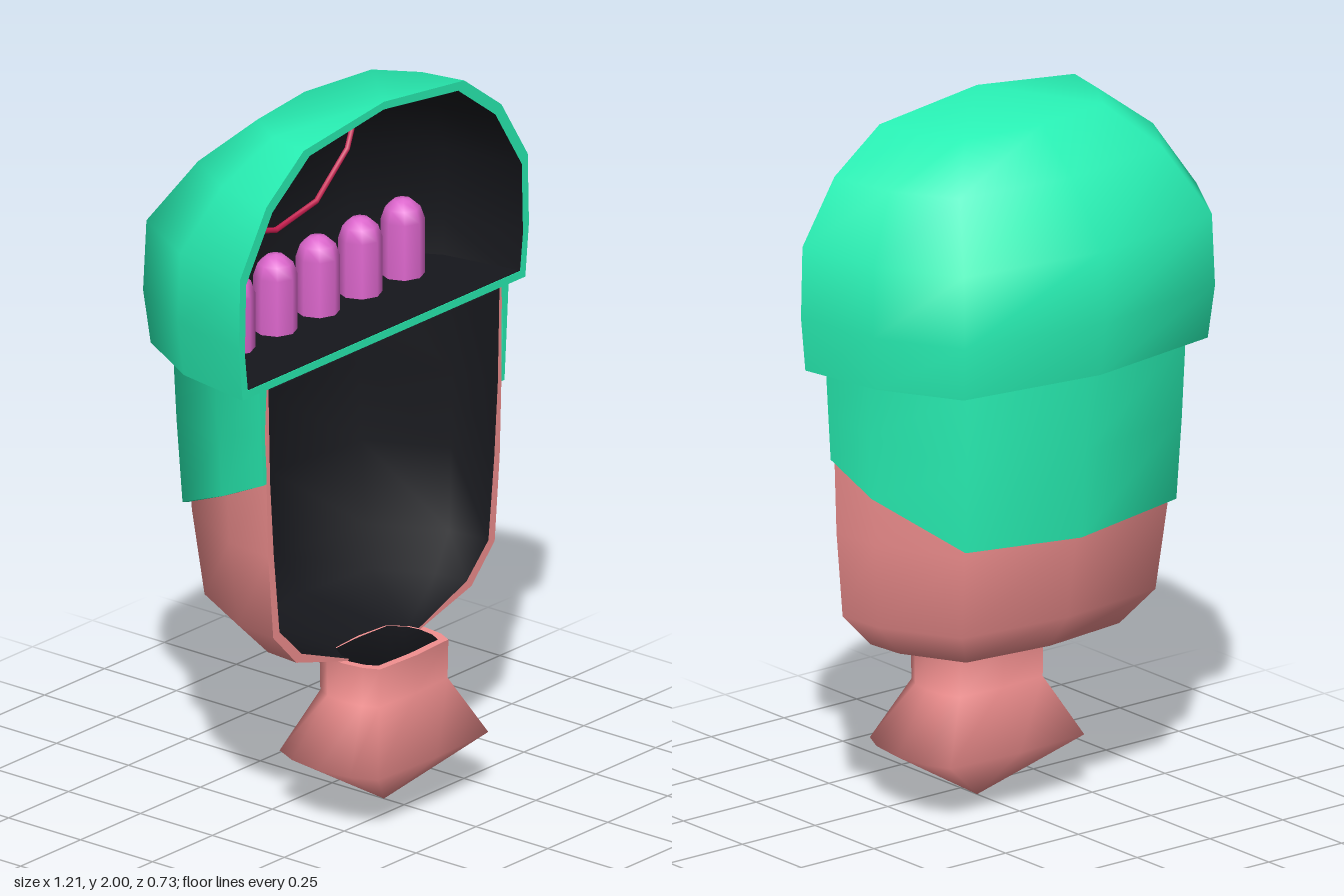
import * as THREE from 'three';
import { mergeVertices } from 'three/addons/utils/BufferGeometryUtils.js';

const CUT = 0.18; // z of the open front plane
const WALL = 0.025;
const mat = (color) => new THREE.MeshStandardMaterial({ color, side: THREE.DoubleSide });
const green = mat(0x28f0b4), skin = mat(0xf29090), black = mat(0x16171c);
const violet = mat(0xdc66cc), red = mat(0xc81e50), yellow = mat(0xbe9a1e);

// Unit half sections from the left edge (+x) to the middle of the back: [x, depth]
const capSection = [[1, 0], [0.925, 0.46], [0.71, 0.88], [0, 1]];
const headSection = [[1, 0], [0.97, 0.35], [0.72, 0.9], [0, 1]];
const neckSection = [[1, 0], [0.95, 0.55], [0.83, 0.93], [0, 1]];

const mirrored = (half) => [...half, ...half.slice(0, -1).reverse().map(([x, d]) => [-x, d])];
const closed = (half) => {
  const back = mirrored(half);
  return [...back, ...back.slice(0, -1).reverse().map(([x, d]) => [x, -d])];
};

// Smooth surface through rows of points
function surface(rows) {
  const n = rows[0].length, index = [];
  for (let i = 0; i < rows.length - 1; i++) {
    for (let j = 0; j < n - 1; j++) {
      const a = i * n + j, c = a + n;
      index.push(a, c, a + 1, a + 1, c, c + 1);
    }
  }
  let geo = new THREE.BufferGeometry();
  geo.setAttribute('position', new THREE.Float32BufferAttribute(rows.flat(2), 3));
  geo.setIndex(index);
  geo = mergeVertices(geo, 1e-4);
  geo.computeVertexNormals();
  return geo;
}

// Levels are [y, half width, depth, slope of y towards the back]
const loft = (section, levels) => surface(levels.map(([y, a, d, slope = 0]) =>
  section.map(([x, f]) => [x * a, y + slope * f, CUT - f * d])));

const inset = (levels, drop = 0) => levels.map(([y, a, d, s]) =>
  [y - drop, Math.max(a - WALL, 0), Math.max(d - WALL, 0), s]);

function add(parent, name, geo, material) {
  const mesh = new THREE.Mesh(geo, material);
  mesh.name = name;
  parent.add(mesh);
  return mesh;
}

// Cut edges of a shell, on both sides
function addRim(parent, name, outer, inner, material) {
  for (const s of [1, -1]) {
    const rows = outer.map(([y, a], i) => {
      const o = [s * a, y, CUT], n = [s * inner[i][1], inner[i][0], CUT];
      return s > 0 ? [n, o] : [o, n];
    });
    add(parent, name + (s > 0 ? 'Left' : 'Right'), surface(rows), material);
  }
}

// Flat half slab with the cap's outline
function slab(a, d, y, height) {
  const shape = new THREE.Shape(mirrored(capSection).map(([x, f]) => new THREE.Vector2(x * a, f * d - CUT)));
  return new THREE.ExtrudeGeometry(shape, { depth: height, bevelEnabled: false })
    .rotateX(-Math.PI / 2).translate(0, y, 0);
}

export function createModel() {
  const model = new THREE.Group();
  model.name = 'halfHead';

  // Rounded cap shell with its dark lining
  const cap = new THREE.Group();
  cap.name = 'cap';
  model.add(cap);
  const capLevels = [[2, 0, 0], [1.96, 0.335, 0.275], [1.845, 0.49, 0.405],
    [1.67, 0.6, 0.535], [1.47, 0.605, 0.545], [1.32, 0.59, 0.525]];
  const capInner = inset(capLevels, 0.022);
  capInner[capInner.length - 1][0] = 1.32;
  add(cap, 'capShell', loft(mirrored(capSection), capLevels), green);
  add(cap, 'capLining', loft(mirrored(capSection), capInner), black);
  addRim(cap, 'capRim', capLevels, capInner, green);
  add(cap, 'capFloor', slab(0.588, 0.523, 1.32, 0.022), green);
  add(cap, 'capFloorLining', slab(0.568, 0.503, 1.342, 0.002).translate(0, 0, -0.002), black);

  // Band under the cap, its lower edge sloping down to the back
  const band = new THREE.Group();
  band.name = 'capBand';
  model.add(band);
  const bandLevels = [[1.32, 0.52, 0.47, 0], [1.19, 0.512, 0.46, -0.105], [1.05, 0.503, 0.443, -0.21]];
  const bandInner = bandLevels.map(([y, a, d, s]) => [y, a - 0.015, d - 0.015, s]);
  bandInner[0][1] = 0.49;
  add(band, 'bandShell', loft(mirrored(headSection), bandLevels), green);
  add(band, 'bandInside', loft(mirrored(headSection), bandInner), green);
  addRim(band, 'bandRim', bandLevels, bandInner, green);
  const last = bandLevels.length - 1;
  add(band, 'bandHem', loft(mirrored(headSection), [bandLevels[last], bandInner[last]]), green);

  // Hollow lower head
  const head = new THREE.Group();
  head.name = 'head';
  model.add(head);
  const headLevels = [[1.32, 0.492, 0.44], [1.05, 0.49, 0.438], [0.84, 0.483, 0.42],
    [0.6, 0.462, 0.385], [0.5, 0.365, 0.31], [0.44, 0.15, 0.105]];
  const headInner = [[1.32, 0.482, 0.42], [1.05, 0.475, 0.415], [0.84, 0.46, 0.395],
    [0.61, 0.436, 0.36], [0.52, 0.345, 0.285], [0.445, 0.145, 0.09]];
  add(head, 'headShell', loft(mirrored(headSection), headLevels), skin);
  add(head, 'headLining', loft(mirrored(headSection), headInner), black);
  addRim(head, 'headRim', headLevels, headInner, skin);
  add(head, 'headCeiling', loft(mirrored(headSection), [[1.316, 0, 0], [1.316, 0.482, 0.42]]), black);

  // Neck, flaring and closing to a point, with a dark hollow
  const neck = new THREE.Group();
  neck.name = 'neck';
  model.add(neck);
  const neckLevels = [[0.44, 0.172, 0.113], [0.33, 0.172, 0.11], [0.165, 0.277, 0.184], [0, 0, 0]];
  const neckInner = [[0.44, 0.15, 0.09], [0.33, 0.148, 0.088], [0.17, 0.245, 0.155], [0.04, 0, 0]];
  add(neck, 'neckShell', loft(closed(neckSection), neckLevels), skin);
  add(neck, 'neckLining', loft(closed(neckSection), neckInner), black);
  add(neck, 'neckRim', loft(closed(neckSection), [neckInner[0], neckLevels[0]]), skin);

  // Row of round-topped pegs on the cap floor
  const pegProfile = [[0.06, 1.33], [0.06, 1.5], [0.048, 1.535], [0.025, 1.555], [0, 1.56]]
    .map(([r, y]) => new THREE.Vector2(r, y));
  for (let i = -2; i <= 2; i++) {
    add(model, 'peg', new THREE.LatheGeometry(pegProfile, 8), violet).position.set(i * 0.177, 0, -0.05);
  }

  // Two hanging wires
  const wire = (name, points, z, material) => {
    const curve = new THREE.CatmullRomCurve3(points.map(([x, y]) => new THREE.Vector3(x, y, z)));
    add(model, name, new THREE.TubeGeometry(curve, 5, 0.008, 6), material);
  };
  wire('redWire', [[-0.42, 1.77], [-0.31, 1.655], [-0.12, 1.605], [0.06, 1.65], [0.185, 1.78], [0.225, 1.91]], -0.085, red);
  wire('yellowWire', [[-0.415, 1.7], [-0.3, 1.665], [-0.18, 1.645], [-0.03, 1.68], [0.07, 1.77], [0.1, 1.835]], -0.205, yellow);

  return model;
}
